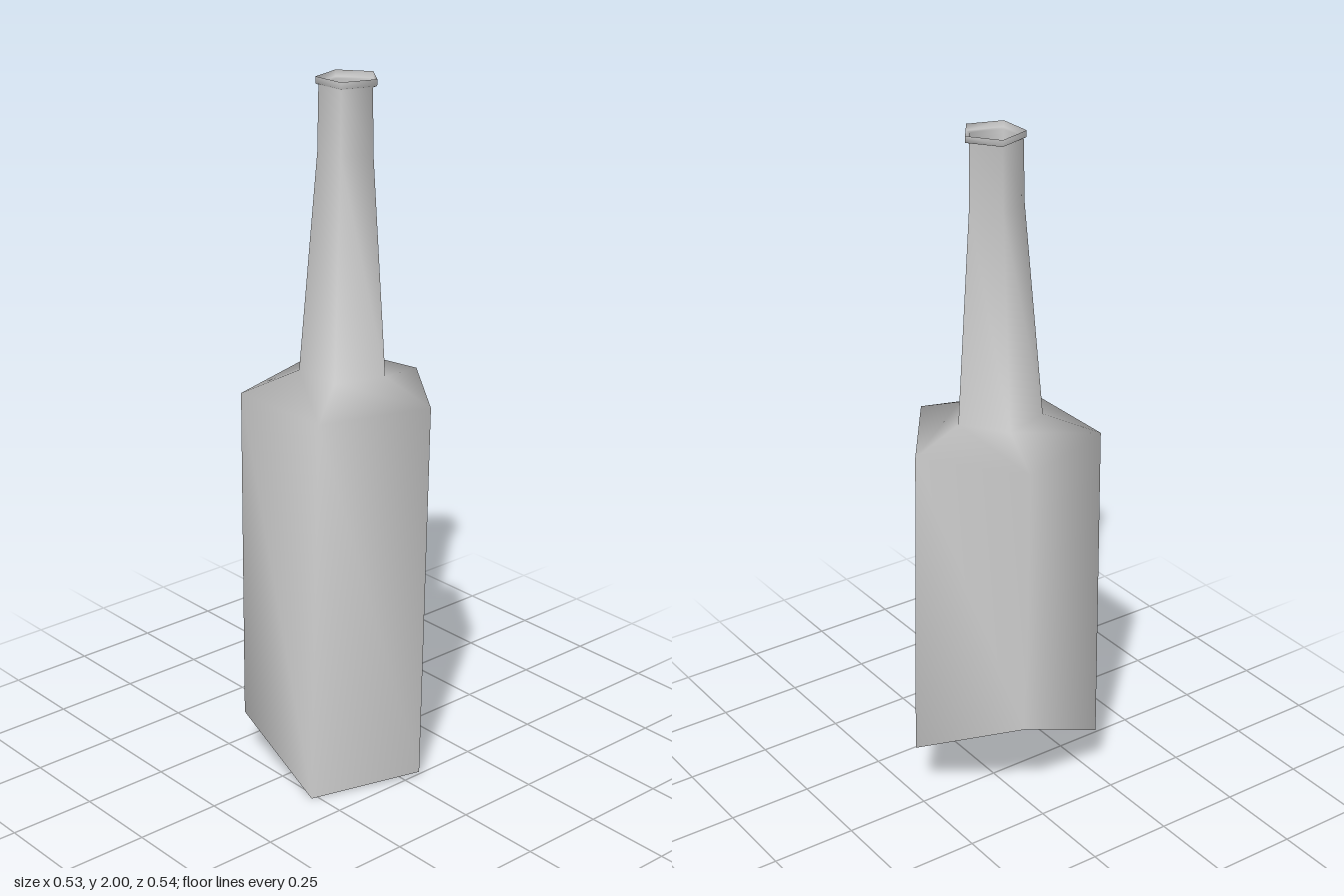
import * as THREE from 'three';

const SIDES = 5;

// Regular pentagon ring, one corner to the back, then round by the left side.
function ring(y, radius, cz) {
  return Array.from({ length: SIDES }, (_, i) => {
    const a = (i / SIDES) * Math.PI * 2;
    return [radius * Math.sin(a), y, cz - radius * Math.cos(a)];
  });
}

// Smooth open skin through a stack of rings, bottom to top.
function loft(rings) {
  const index = [];
  for (let r = 0; r < rings.length - 1; r++) {
    for (let i = 0; i < SIDES; i++) {
      const j = (i + 1) % SIDES;
      const a = r * SIDES + i, b = r * SIDES + j;
      const c = a + SIDES, d = b + SIDES;
      index.push(a, c, d, a, d, b);
    }
  }
  const geometry = new THREE.BufferGeometry();
  geometry.setAttribute('position', new THREE.Float32BufferAttribute(rings.flat(2), 3));
  geometry.setIndex(index);
  geometry.computeVertexNormals();
  return geometry;
}

export function createModel() {
  const group = new THREE.Group();
  group.name = 'brokenBottle';
  const glass = new THREE.MeshStandardMaterial({ color: 0xcccccc, side: THREE.DoubleSide });

  // Slanted broken edge: back, left, front left, front right, right corners
  const brokenEdge = [
    [0.01, 0.19, -0.268],
    [0.26, 0.015, -0.045],
    [0.15, 0, 0.268],
    [-0.163, 0.145, 0.256],
    [-0.24, 0.31, -0.06],
  ];

  // Body, shoulder, neck and lip share one thin skin, open at both ends
  const bottle = new THREE.Mesh(loft([
    brokenEdge,
    ring(1.13, 0.279, 0.021),   // shoulder edge
    ring(1.19, 0.127, 0.01),    // neck base
    ring(1.8, 0.08, 0.002),     // neck straightens
    ring(1.978, 0.077, 0.001),  // under the lip
    ring(1.982, 0.087, -0.002), // lip
    ring(2, 0.087, -0.002),
  ]), glass);
  bottle.name = 'bottleShell';
  group.add(bottle);

  return group;
}
